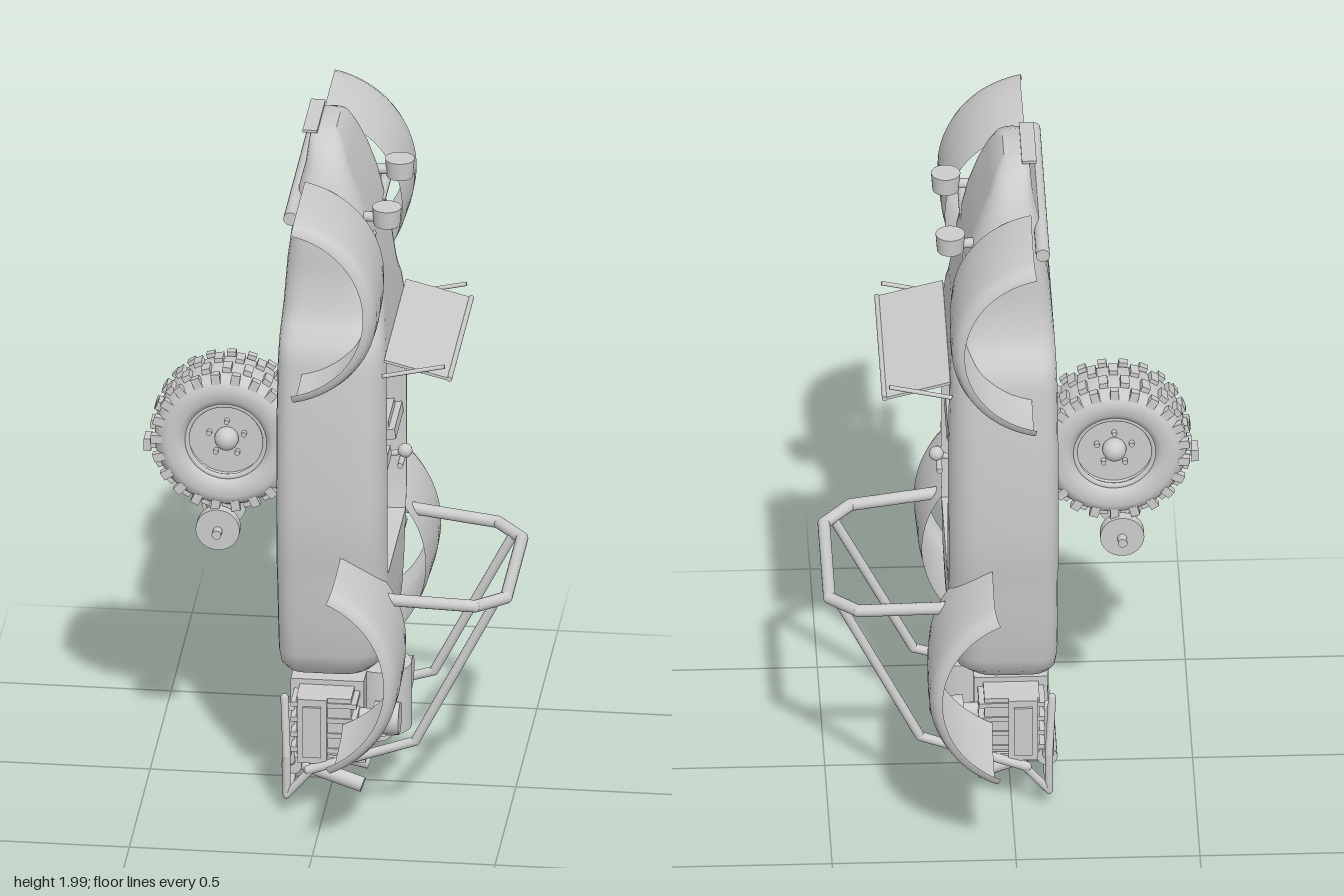
import * as THREE from 'three';
import { toCreasedNormals } from 'three/addons/utils/BufferGeometryUtils.js';

const grey = new THREE.MeshStandardMaterial({ color: 0xcccccc });
const greyThin = new THREE.MeshStandardMaterial({ color: 0xcccccc, side: THREE.DoubleSide });
const V = (x, y, z) => new THREE.Vector3(x, y, z);

function add(parent, name, geo, x = 0, y = 0, z = 0, mat = grey) {
  const m = new THREE.Mesh(geo, mat);
  m.name = name;
  m.position.set(x, y, z);
  parent.add(m);
  return m;
}
const box = (p, name, sx, sy, sz, x, y, z) => add(p, name, new THREE.BoxGeometry(sx, sy, sz), x, y, z);

// Straight round bar between two points
function bar(parent, name, a, b, r, sides = 14) {
  const d = b.clone().sub(a);
  const m = add(parent, name, new THREE.CylinderGeometry(r, r, d.length(), sides));
  m.position.copy(a).addScaledVector(d, 0.5);
  m.quaternion.setFromUnitVectors(V(0, 1, 0), d.normalize());
  return m;
}
// Bent pipe: bars with ball joints
function pipe(parent, name, pts, r) {
  const g = new THREE.Group();
  g.name = name;
  pts.forEach((p, i) => {
    add(g, name + 'Joint', new THREE.SphereGeometry(r, 14, 10), p.x, p.y, p.z);
    if (i) bar(g, name + 'Bar', pts[i - 1], p, r);
  });
  parent.add(g);
}

// Half cross-section of the tub, from floor centre round the side to the top centre
function halfSection(w, x0, x1, open) {
  const h = x1 - x0, rb = Math.min(0.05, 0.42 * h), rt = Math.min(0.085, 0.5 * h);
  const zi = Math.max(0.03, Math.min(0.235, w - rt)), pts = [[x0, 0]];
  for (let i = 0; i <= 4; i++) {
    const a = (i / 4) * Math.PI / 2;
    pts.push([x0 + rb * (1 - Math.cos(a)), w - rb * (1 - Math.sin(a))]);
  }
  for (let i = 0; i <= 6; i++) {
    const a = (i / 6) * Math.PI / 2;
    pts.push([x1 - rt * (1 - Math.sin(a)), w - rt * (1 - Math.cos(a))]);
  }
  const f = open ? -0.09 : x1;
  pts.push([x1, zi - 0.005], [f, zi - 0.015], [f, 0]);
  return pts;
}

function tubGeometry() {
  // y, half width, underside x, topside x, cockpit open
  const rows = [
    [1.99, 0.085, -0.05, 0.015], [1.97, 0.13, -0.055, 0.035], [1.92, 0.175, -0.06, 0.055],
    [1.86, 0.208, -0.075, 0.08], [1.78, 0.22, -0.088, 0.108], [1.65, 0.22, -0.105, 0.138],
    [1.52, 0.223, -0.115, 0.157], [1.48, 0.25, -0.118, 0.16], [1.44, 0.283, -0.12, 0.165],
    [1.38, 0.304, -0.122, 0.17], [1.379, 0.304, -0.122, 0.17, 1], [1.2, 0.32, -0.124, 0.174, 1],
    [0.95, 0.325, -0.124, 0.175, 1], [0.8, 0.32, -0.124, 0.175, 1], [0.731, 0.303, -0.124, 0.174, 1],
    [0.73, 0.303, -0.124, 0.174], [0.6, 0.28, -0.124, 0.172], [0.5, 0.268, -0.123, 0.167],
    [0.46, 0.255, -0.118, 0.152], [0.43, 0.225, -0.105, 0.13]];
  const rings = rows.map(([y, w, x0, x1, open]) => {
    const h = halfSection(w, x0, x1, open);
    const back = h.slice(1, -1).reverse().map(([x, z]) => [x, -z]);
    return [...h, ...back].map(([x, z]) => [x, y, z]);
  });
  const n = rings[0].length, pos = [], tri = (...p) => p.forEach(q => pos.push(...q));
  for (let i = 0; i < rings.length - 1; i++) {
    for (let j = 0; j < n; j++) {
      const k = (j + 1) % n, A = rings[i], B = rings[i + 1];
      tri(A[j], B[j], A[k]);
      tri(A[k], B[j], B[k]);
    }
  }
  const last = rings.length - 1;
  for (let j = 0; j < n; j++) {
    const k = (j + 1) % n;
    tri([-0.018, 1.99, 0], rings[0][j], rings[0][k]);
    tri([0.01, 0.43, 0], rings[last][k], rings[last][j]);
  }
  const g = new THREE.BufferGeometry();
  g.setAttribute('position', new THREE.Float32BufferAttribute(pos, 3));
  return toCreasedNormals(g, 0.7);
}

// Arched mudguard with a rolled outer lip, swept about the z direction
function fender(parent, name, s, cx, cy, r, half, zIn, zOut) {
  const prof = [[r - 0.012, zIn], [r - 0.004, zIn + 0.08], [r, zOut - 0.11], [r - 0.002, zOut - 0.04],
    [r - 0.01, zOut - 0.015], [r - 0.022, zOut - 0.003], [r - 0.036, zOut]];
  const pts = prof.map(([q, z]) => new THREE.Vector2(q, s * z));
  if (s < 0) pts.reverse();
  const g = new THREE.LatheGeometry(pts, 40, Math.PI / 2 - half, 2 * half).rotateX(Math.PI / 2);
  add(parent, name, g, cx, cy, 0, greyThin);
}

// Knobby wheel lying with its axle along z
function wheel() {
  const g = new THREE.Group();
  g.name = 'spareWheel';
  const side = [[0.105, 0.045], [0.112, 0.075], [0.13, 0.088], [0.16, 0.09], [0.183, 0.08], [0.196, 0.055], [0.2, 0]];
  const prof = [...side.map(([r, z]) => [r, -z]), ...side.slice(0, -1).reverse()];
  add(g, 'tyre', new THREE.LatheGeometry(prof.map(p => new THREE.Vector2(...p)), 56).rotateX(Math.PI / 2));
  const N = 22;
  for (let i = 0; i < N; i++) {
    for (const s of [-1, 1]) {
      const a = ((i + (s > 0 ? 0.5 : 0)) / N) * Math.PI * 2, b = a + Math.PI / N;
      const mid = box(g, 'treadLug', 0.022, 0.024, 0.042, 0.2 * Math.cos(a), 0.2 * Math.sin(a), s * 0.03);
      mid.rotation.z = a;
      const edge = box(g, 'shoulderLug', 0.03, 0.024, 0.022, 0.19 * Math.cos(b), 0.19 * Math.sin(b), s * 0.073);
      edge.rotation.z = b;
    }
  }
  const disc = (r, t) => new THREE.CylinderGeometry(r, r, t, 36).rotateX(Math.PI / 2);
  add(g, 'rimDisc', disc(0.107, 0.09));
  for (const s of [-1, 1]) {
    add(g, 'rimRing', new THREE.TorusGeometry(0.108, 0.008, 8, 40), 0, 0, s * 0.068);
    add(g, 'hubCap', new THREE.SphereGeometry(0.033, 20, 14), 0, 0, s * 0.055);
    for (let i = 0; i < 5; i++) {
      const a = (i / 5) * Math.PI * 2 + Math.PI / 2;
      add(g, 'wheelBolt', disc(0.007, 0.02), 0.05 * Math.cos(a), 0.05 * Math.sin(a), s * 0.05);
    }
  }
  return g;
}

export function createModel() {
  const car = new THREE.Group();
  car.name = 'openBuggy';
  add(car, 'bodyTub', tubGeometry());

  // Nose: plate and twin axle beams
  box(car, 'nosePlate', 0.04, 0.008, 0.2, -0.052, 1.996, 0);
  for (const s of [-1, 1]) box(car, 'plateStay', 0.006, 0.07, 0.012, -0.052, 1.962, s * 0.06);
  for (const x of [-0.08, -0.03]) bar(car, 'axleBeam', V(x, 1.837, -0.325), V(x, 1.837, 0.325), 0.019, 20);

  // Windscreen and its stays
  const screen = box(car, 'windscreen', 0.185, 0.008, 0.52, 0.258, 1.37, 0);
  screen.rotation.z = -0.25;
  bar(car, 'screenTopRail', V(0.348, 1.349, -0.262), V(0.348, 1.349, 0.262), 0.007);

  for (const s of [-1, 1]) {
    fender(car, 'frontFender', s, -0.105, 1.635, 0.281, 1.375, 0.215, 0.515);
    fender(car, 'rearFender', s, -0.066, 0.55, 0.304, 1.15, 0.235, 0.56);
    bar(car, 'fenderStay', V(0.115, 1.7, s * 0.1), V(0.115, 1.7, s * 0.26), 0.015);
    bar(car, 'fenderStay', V(0.155, 0.66, s * 0.2), V(0.155, 0.66, s * 0.29), 0.015);
    bar(car, 'screenStay', V(0.165, 1.35, s * 0.265), V(0.335, 1.388, s * 0.265), 0.006);

    // Headlamps
    add(car, 'headlamp', new THREE.CylinderGeometry(0.04, 0.036, 0.052, 28), 0.165, 1.782, s * 0.155);
    bar(car, 'headlampStem', V(0.09, 1.775, s * 0.15), V(0.15, 1.775, s * 0.155), 0.014);

    // Seats: cushion and leaning backrest
    box(car, 'seatCushion', 0.05, 0.22, 0.17, -0.05, 1.13, s * 0.135);
    const back = box(car, 'seatBack', 0.22, 0.03, 0.18, 0.055, 1.015, s * 0.14);
    back.rotation.z = 0.12;
    const pad = box(car, 'seatBackPad', 0.18, 0.02, 0.15, 0.055, 1.037, s * 0.14);
    pad.rotation.z = 0.12;

    // Engine sides
    box(car, 'cylinderHead', 0.15, 0.17, 0.1, 0.0, 0.27, s * 0.175);
    for (const y of [0.2, 0.245, 0.29, 0.335]) box(car, 'coolingFin', 0.18, 0.014, 0.12, 0, y, s * 0.17);
    add(car, 'airCleaner', new THREE.CylinderGeometry(0.045, 0.045, 0.07, 28).rotateZ(Math.PI / 2), 0.165, 0.27, s * 0.15);
    bar(car, 'intakePipe', V(0.02, 0.27, s * 0.15), V(0.15, 0.27, s * 0.15), 0.025);
    const cover = box(car, 'valveCover', 0.08, 0.19, 0.025, -0.03, 0.26, s * 0.228);
    box(cover, 'coverRib', 0.05, 0.15, 0.012, 0, 0, s * 0.014);

    // Exhaust and rear bumper frame
    pipe(car, 'exhaust', [V(-0.1, 0.3, s * 0.18), V(-0.1, 0.14, s * 0.17), V(-0.11, 0.085, s * 0.055), V(-0.02, 0.06, s * 0.06)], 0.016);
    bar(car, 'exhaustTip', V(-0.04, 0.067, s * 0.06), V(0.09, 0.03, s * 0.075), 0.021, 20);
    pipe(car, 'bumperSide', [V(-0.11, 0.34, s * 0.2), V(-0.1, 0.18, s * 0.235), V(-0.1, 0.065, s * 0.235), V(-0.03, 0.15, s * 0.24)], 0.011);

    // Rear cage leg
    pipe(car, 'cageLeg', [V(-0.04, 0.145, s * 0.24), V(0.25, 0.24, s * 0.225), V(0.465, 0.66, s * 0.215)], 0.013);

    // Round lamp below the spare wheel
    add(car, 'roundLamp', new THREE.CylinderGeometry(0.06, 0.06, 0.03, 32).rotateX(Math.PI / 2), -0.305, 0.783, s * 0.08);
    bar(car, 'lampBoss', V(-0.305, 0.78, s * 0.08), V(-0.305, 0.78, s * 0.123), 0.013);
  }
  pipe(car, 'cageHoop', [V(0.15, 0.7, 0.295), V(0.2, 0.692, 0.292), V(0.42, 0.675, 0.27), V(0.495, 0.668, 0.19),
    V(0.495, 0.668, -0.19), V(0.42, 0.675, -0.27), V(0.2, 0.692, -0.292), V(0.15, 0.7, -0.295)], 0.017);

  // Cockpit middle: tunnel, gear lever, steering column
  box(car, 'tunnel', 0.09, 0.55, 0.07, -0.045, 1.06, 0);
  for (let i = 0; i < 5; i++) box(car, 'tunnelSwitch', 0.03, 0.02, 0.04, 0.01, 1.03 + i * 0.035, 0);
  bar(car, 'gearLever', V(-0.02, 0.97, 0), V(0.195, 1.0, 0), 0.008);
  add(car, 'gearKnob', new THREE.SphereGeometry(0.02, 16, 12), 0.197, 1.005, 0);
  bar(car, 'leverCrossbar', V(0.19, 0.985, -0.06), V(0.19, 0.985, 0.06), 0.008);
  bar(car, 'steeringColumn', V(0.1, 1.375, -0.145), V(0.13, 1.21, -0.145), 0.009);
  box(car, 'dashboard', 0.09, 0.03, 0.44, 0.11, 1.365, 0);

  // Gearbox, engine block and fan housing
  add(car, 'gearbox', new THREE.CylinderGeometry(0.08, 0.08, 0.12, 32), -0.04, 0.42, 0);
  box(car, 'engineBlock', 0.2, 0.2, 0.28, 0.0, 0.27, 0);
  add(car, 'fanHousing', new THREE.CylinderGeometry(0.08, 0.08, 0.19, 36), 0.135, 0.275, 0);
  add(car, 'fanPulley', new THREE.CylinderGeometry(0.04, 0.04, 0.04, 28), 0.12, 0.165, 0);
  box(car, 'engineTray', 0.13, 0.012, 0.46, 0.05, 0.175, 0);
  bar(car, 'muffler', V(-0.1, 0.1, -0.12), V(-0.1, 0.1, 0.12), 0.028, 20);
  for (const [x, y] of [[-0.1, 0.065], [-0.1, 0.18], [-0.03, 0.15]]) {
    bar(car, 'bumperCrossbar', V(x, y, -0.235), V(x, y, 0.235), 0.011);
  }

  // Wheel under the floor, with lamp link and tail block
  const w = wheel();
  w.position.set(-0.285, 1.04, 0);
  car.add(w);
  bar(car, 'wheelAxle', V(-0.285, 1.04, 0), V(-0.1, 1.04, 0), 0.03);
  bar(car, 'lampBar', V(-0.305, 0.783, -0.08), V(-0.305, 0.783, 0.08), 0.015);
  bar(car, 'lampLink', V(-0.33, 0.85, 0), V(-0.305, 0.783, 0), 0.03);
  box(car, 'tailBlock', 0.02, 0.035, 0.05, -0.505, 0.995, 0);
  return car;
}
